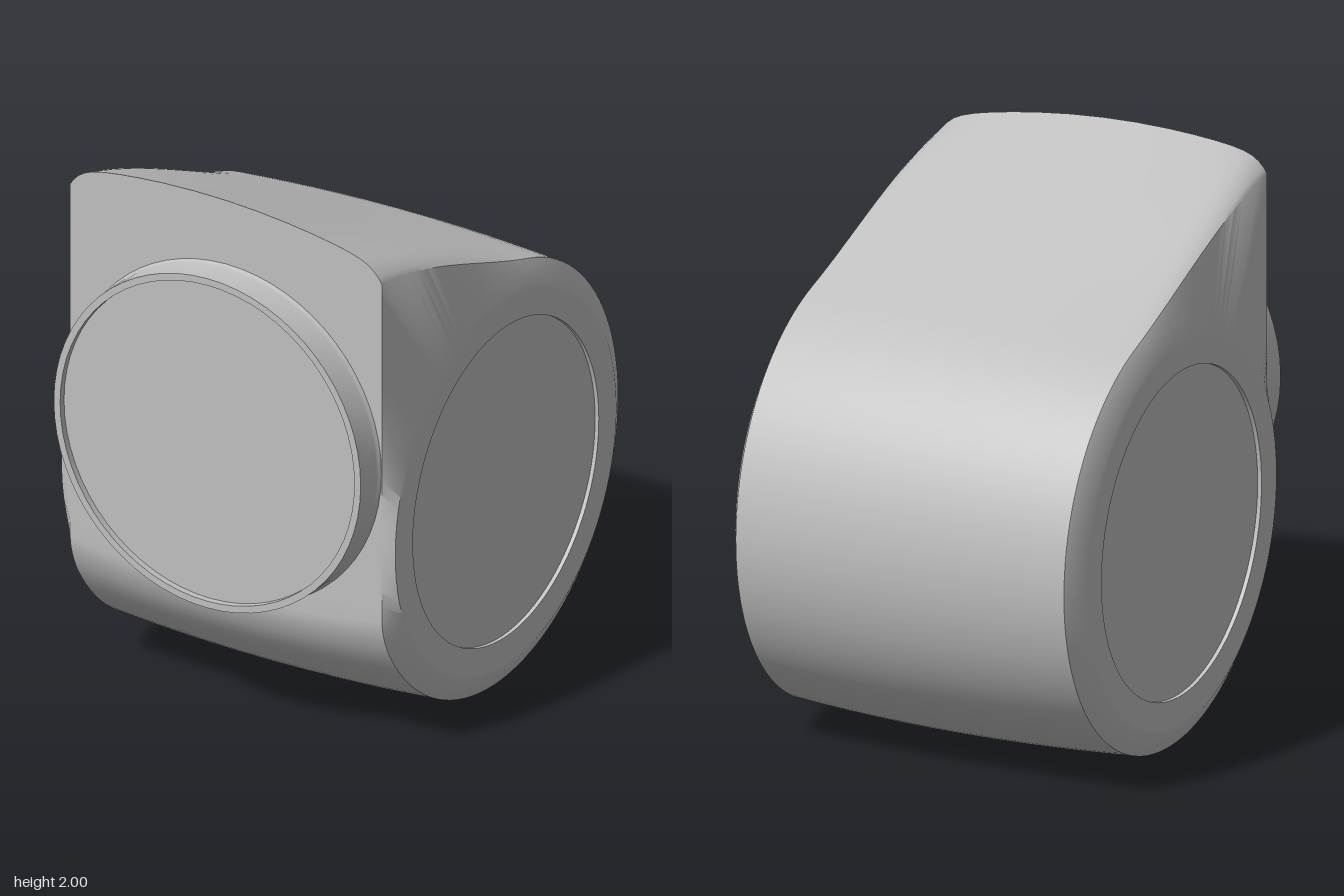
import * as THREE from 'three';
import { toCreasedNormals } from 'three/addons/utils/BufferGeometryUtils.js';

const CY = 0.81, CZ = -0.01;      // centre of the round drum, seen from the side
const FRONT = 0.71, EDGE = 0.64, SIDE = 0.685;
const PANEL_R = 0.593, RECESS = 0.015;

// Teardrop outline at width x: sloping top, round back and belly, flat front
function outline(x) {
  const u = x / EDGE;
  const r = 0.812 - 0.025 * u * u;
  const top = 1.998 - 0.07 * u * u - 0.028 * u - 0.06 * Math.pow(u, 16);
  const swell = 0.03 * Math.pow(u, 4);
  const dz = FRONT - CZ, dy = top - CY;
  const start = Math.atan2(dy, dz) + Math.acos(r / Math.hypot(dz, dy));
  const corner = 2 * Math.PI - Math.acos(dz / r);
  const end = corner - 0.12;
  const at = a => [CZ + r * Math.cos(a), CY + r * Math.sin(a)];
  const pts = [], t0 = at(start), low = at(end), mid = at(corner);
  const frontLow = mid[1] + 0.06;
  // top slope, slightly swollen towards the sides
  for (let i = 0; i < 16; i++) {
    const t = i / 16;
    pts.push([FRONT + (t0[0] - FRONT) * t,
      top + (t0[1] - top) * t + swell * 6.75 * t * (1 - t) * (1 - t)]);
  }
  // back and belly
  for (let i = 0; i < 64; i++) pts.push(at(start + (end - start) * i / 64));
  // soft turn into the flat front
  for (let i = 0; i < 6; i++) {
    const t = i / 6, a = (1 - t) * (1 - t), b = 2 * t * (1 - t), c = t * t;
    pts.push([a * low[0] + (b + c) * FRONT, a * low[1] + b * mid[1] + c * frontLow]);
  }
  for (let i = 0; i < 24; i++) pts.push([FRONT, frontLow + (top - frontLow) * i / 24]);
  return pts;
}

// The same ring of points pulled in to a circle
const circleFrom = (pts, r) => pts.map(([z, y]) => {
  const a = Math.atan2(y - CY, z - CZ);
  return [CZ + r * Math.cos(a), CY + r * Math.sin(a)];
});

// Skin over rings ordered from -x to +x
function loft(rings) {
  const pos = [], idx = [], n = rings[0].pts.length;
  rings.forEach(({ x, pts }) => pts.forEach(([z, y]) => pos.push(x, y, z)));
  for (let i = 0; i < rings.length - 1; i++) {
    for (let j = 0; j < n; j++) {
      const a = i * n + j, d = i * n + (j + 1) % n;
      idx.push(a, a + n, d, a + n, d + n, d);
    }
  }
  const g = new THREE.BufferGeometry();
  g.setAttribute('position', new THREE.Float32BufferAttribute(pos, 3));
  g.setIndex(idx);
  return toCreasedNormals(g, 0.7);
}

export function createModel() {
  const group = new THREE.Group();
  const grey = new THREE.MeshStandardMaterial({ color: 0xc0c0c0 });
  grey.name = 'light grey';
  const add = (name, geometry) => {
    const m = new THREE.Mesh(geometry, grey);
    m.name = name;
    group.add(m);
    return m;
  };

  // Crowned body with chamfered sides and shallow round recesses
  const half = [0.2, 0.4, 0.55, 0.68, 0.78, 0.86, 0.91, 0.95, 0.98, 1];
  const us = [...half.map(u => -u).reverse(), 0, ...half];
  const sideRings = s => {
    const rim = outline(s * EDGE);
    return [
      { x: s * SIDE, pts: circleFrom(rim, 0.705) },
      { x: s * SIDE, pts: circleFrom(rim, 0.69) },
      { x: s * SIDE, pts: circleFrom(rim, PANEL_R) },
      { x: s * (SIDE - RECESS), pts: circleFrom(rim, PANEL_R) },
    ];
  };
  add('body', loft([
    ...sideRings(-1).reverse(),
    ...us.map(u => ({ x: u * EDGE, pts: outline(u * EDGE) })),
    ...sideRings(1),
  ]));

  // Round panels at the bottom of the side recesses
  for (const s of [1, -1]) {
    const panel = add(s > 0 ? 'leftSidePanel' : 'rightSidePanel',
      new THREE.CircleGeometry(PANEL_R + 0.003, 64));
    panel.rotation.y = s * Math.PI / 2;
    panel.position.set(s * (SIDE - RECESS), CY, CZ);
  }

  // Raised front ring with a flared foot and a slightly sunken face
  const profile = [[0.638, -0.02], [0.638, 0.002], [0.633, 0.008], [0.63, 0.018], [0.63, 0.12],
    [0.604, 0.12], [0.604, 0.095]].map(([r, h]) => new THREE.Vector2(r, h));
  const ring = add('frontRing', toCreasedNormals(new THREE.LatheGeometry(profile, 64), 0.7));
  ring.rotation.x = Math.PI / 2;
  ring.position.set(0, 1.117, FRONT);
  const face = add('frontFace', new THREE.CircleGeometry(0.606, 64));
  face.position.set(0, 1.117, FRONT + 0.095);

  return group;
}
